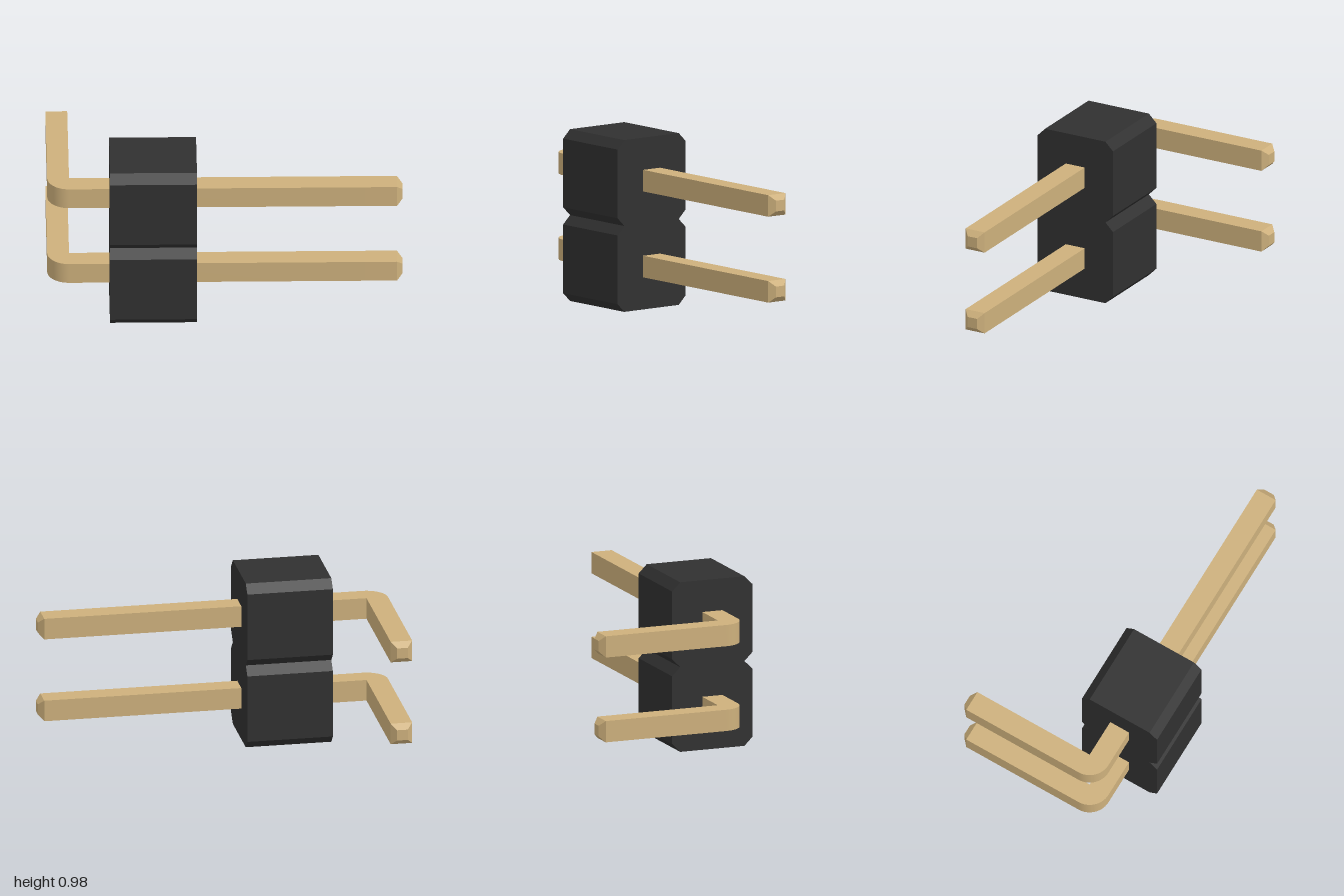
import * as THREE from 'three';
import { toCreasedNormals } from 'three/addons/utils/BufferGeometryUtils.js';

const gold = new THREE.MeshStandardMaterial({ color: 0xcdb07c });
gold.name = 'gold';
const black = new THREE.MeshStandardMaterial({ color: 0x303030 });
black.name = 'black plastic';

const PITCH = 0.49, HALF = 0.245, CHAMFER = 0.049; // housing cell
const BOTTOM = 0.003, AXIS_Z = 0.291;
const R = 0.0615, TIP = 0.031;                      // pin half width, tip length
const BEND_X = -1 + R, TAIL_Z = -0.536;

function mesh(name, geometry, material) {
  const m = new THREE.Mesh(geometry, material);
  m.name = name;
  return m;
}

// Two chamfered cells joined into one outline, extruded along x
function housing() {
  const right = [], c = HALF - CHAMFER;
  for (let i = 0; i < 2; i++) {
    const y = i * PITCH;
    if (i === 0) right.push([c, y]);
    right.push([HALF, y + CHAMFER], [HALF, y + PITCH - CHAMFER], [c, y + PITCH]);
  }
  const left = right.map(([s, y]) => [-s, y]).reverse();
  const shape = new THREE.Shape([...right, ...left].map(([s, y]) => new THREE.Vector2(s, y)));
  const geo = new THREE.ExtrudeGeometry(shape, { depth: 0.49, bevelEnabled: false });
  geo.rotateY(Math.PI / 2).translate(-0.65, BOTTOM, AXIS_Z);
  return mesh('housing', geo, black);
}

// Square tapered end pointing along +y
function tip() {
  const geo = new THREE.CylinderGeometry(R * 0.5 * Math.SQRT2, R * Math.SQRT2, TIP, 4).toNonIndexed();
  geo.rotateY(Math.PI / 4).translate(0, TIP / 2, 0);
  geo.computeVertexNormals();
  return geo;
}

// Right-angle square pin: L outline with a rounded outer corner, plus two tips
function pin(y) {
  const group = new THREE.Group();
  group.name = 'pin';
  const endX = 1 - TIP, endZ = TAIL_Z + TIP;
  const front = AXIS_Z + R, back = AXIS_Z - R, inner = BEND_X + R, bend = 2 * R;
  const s = new THREE.Shape(); // drawn in x, -z
  s.moveTo(endX, -front);
  s.lineTo(endX, -back);
  s.lineTo(inner, -back);
  s.lineTo(inner, -endZ);
  s.lineTo(-1, -endZ);
  s.lineTo(-1, -front + bend);
  s.absarc(inner, -front + bend, bend, Math.PI, Math.PI * 1.5, false);
  s.closePath();
  const geo = new THREE.ExtrudeGeometry(s, { depth: 2 * R, bevelEnabled: false, curveSegments: 10 });
  geo.rotateX(-Math.PI / 2).translate(0, -R, 0);
  group.add(mesh('pinShaft', toCreasedNormals(geo, 0.5), gold));

  group.add(mesh('matingTip', tip().rotateZ(-Math.PI / 2).translate(endX, 0, AXIS_Z), gold));
  group.add(mesh('solderTip', tip().rotateX(-Math.PI / 2).translate(BEND_X, 0, endZ), gold));
  group.position.y = y;
  return group;
}

export function createModel() {
  const model = new THREE.Group();
  model.name = 'pinHeader';
  model.add(housing());
  for (let i = 0; i < 2; i++) model.add(pin(BOTTOM + PITCH * (i + 0.5)));
  return model;
}
